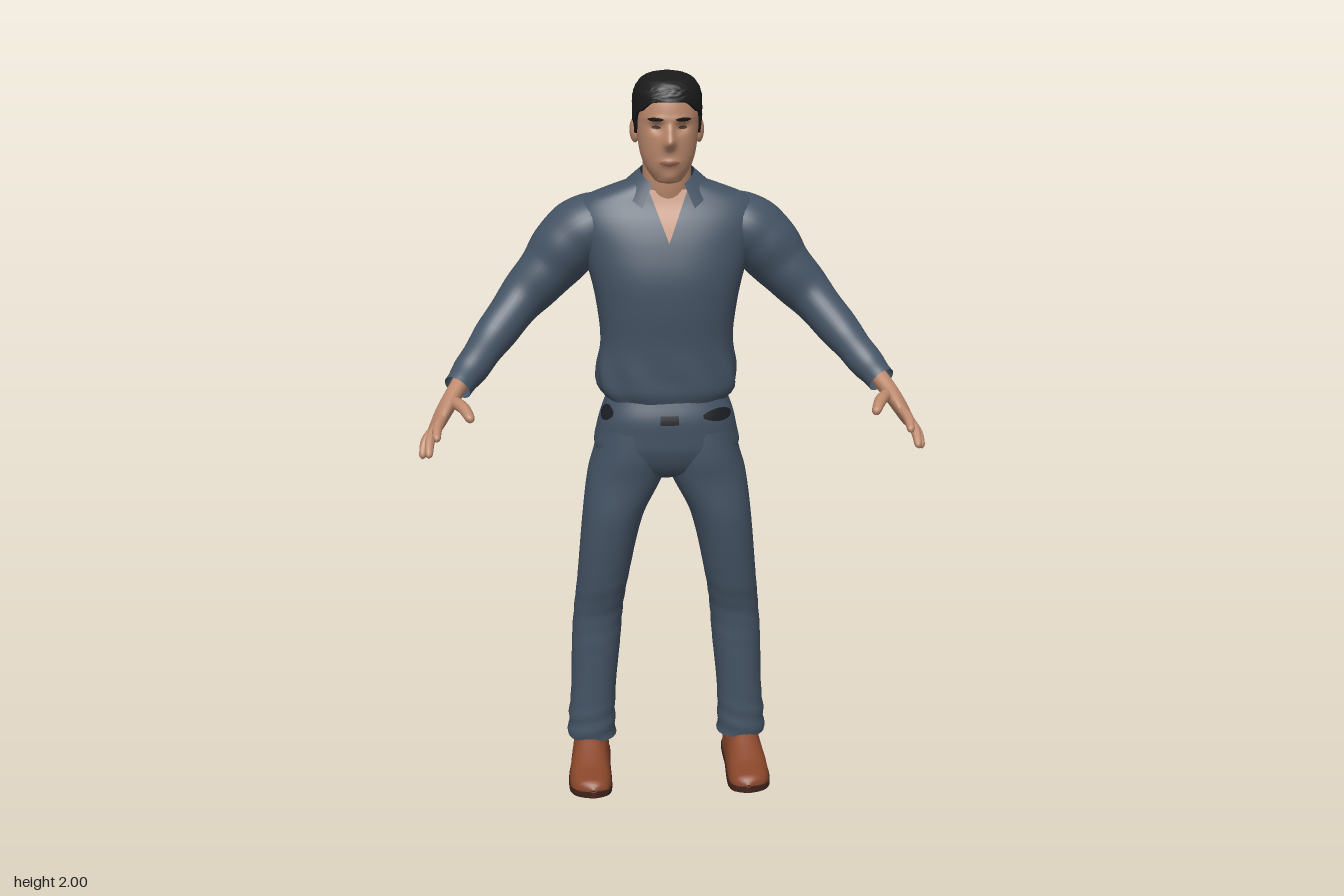
import * as THREE from 'three';
import { mergeVertices } from 'three/addons/utils/BufferGeometryUtils.js';

const TAU = Math.PI * 2;
const mat = (name, color, side = THREE.FrontSide) => {
  const m = new THREE.MeshStandardMaterial({ color, side });
  m.name = name;
  return m;
};
const bump = (d, s) => Math.exp(-((d / s) ** 2));
const pow = (v, n) => Math.sign(v) * Math.abs(v) ** (2 / n); // superellipse rounding

// Smoothly interpolate rows [key, a, b, ...] at a key
function at(rows, k) {
  const last = rows.length - 1;
  k = Math.min(Math.max(k, rows[0][0]), rows[last][0]);
  let i = 0;
  while (i < last - 1 && k > rows[i + 1][0]) i++;
  const h = rows[i + 1][0] - rows[i][0], t = (k - rows[i][0]) / h;
  const slope = (j, c) => {
    const p = rows[Math.max(j - 1, 0)], q = rows[Math.min(j + 1, last)];
    return (q[c] - p[c]) / (q[0] - p[0]);
  };
  return rows[0].slice(1).map((_, n) => {
    const c = n + 1, p = rows[i][c], q = rows[i + 1][c], t2 = t * t, t3 = t2 * t;
    return p * (2 * t3 - 3 * t2 + 1) + q * (3 * t2 - 2 * t3)
      + h * (slope(i, c) * (t3 - 2 * t2 + t) + slope(i + 1, c) * (t3 - t2));
  });
}

// Smooth surface from fn(u, v) -> [x, y, z]
function grid(fn, nu, nv) {
  const pos = [], idx = [];
  for (let j = 0; j <= nv; j++) for (let i = 0; i <= nu; i++) pos.push(...fn(i / nu, j / nv));
  for (let j = 0; j < nv; j++) for (let i = 0; i < nu; i++) {
    const a = j * (nu + 1) + i, b = a + 1, c = b + nu + 1, d = a + nu + 1;
    idx.push(a, b, c, a, c, d);
  }
  let g = new THREE.BufferGeometry();
  g.setAttribute('position', new THREE.Float32BufferAttribute(pos, 3));
  g.setIndex(idx);
  g = mergeVertices(g, 1e-5);
  g.computeVertexNormals();
  return g;
}

// Upright body surface from rows [y, front z, back z, half width, centre x]
const body = (rows, n, shape) => (y, a) => {
  const [zf, zb, rx, cx = 0] = at(rows, y);
  const p = [cx + rx * pow(Math.sin(a), n), y, (zf + zb) / 2 + (zf - zb) / 2 * pow(Math.cos(a), n)];
  return shape ? shape(p, a) : p;
};
const loft = (surf, y0, y1, nu, nv) => grid((u, v) => surf(y0 + (y1 - y0) * v, u * TAU), nu, nv);

// Thin plate lying on a body surface; rounded plates taper at both ends
const plate = (surf, a0, a1, y0, y1, off, round, cz = -0.1) => grid((u, v) => {
  const taper = round ? Math.sqrt(Math.sin(Math.PI * Math.min(Math.max(u, 0.02), 0.98))) : 1;
  const p = surf((y0 + y1) / 2 + (y1 - y0) * (v - 0.5) * taper, a0 + (a1 - a0) * u);
  const l = Math.hypot(p[0], p[2] - cz);
  return [p[0] * (1 + off / l), p[1], p[2] + (p[2] - cz) * off / l];
}, 12, 3);

// Tube through stations [x, y, z, radius across, radius thick]
function sweep(st, across, nu, nv, roundEnd, fold = 0) {
  const curve = new THREE.CatmullRomCurve3(st.map(s => new THREE.Vector3(s[0], s[1], s[2])));
  const radii = st.map((s, i) => [i, s[3], s[4] ?? s[3]]);
  const ref = new THREE.Vector3(...across);
  return grid((u, v) => {
    const T = curve.getTangent(v), c = curve.getPoint(v);
    const N = ref.clone().addScaledVector(T, -ref.dot(T)).normalize();
    const B = T.clone().cross(N);
    const a = u * TAU, [ra, rb] = at(radii, v * (st.length - 1));
    const k = (roundEnd && v > 0.85 ? Math.sqrt(Math.max(0, 1 - ((v - 0.85) / 0.15) ** 2)) : 1)
      * (1 + fold * Math.sin(v * 38 + 2 * Math.sin(a)) * v);
    return c.addScaledVector(N, Math.cos(a) * ra * k).addScaledVector(B, Math.sin(a) * rb * k).toArray();
  }, nu, nv);
}

function flipX(g) {
  const m = g.clone().scale(-1, 1, 1), ix = m.index.array;
  for (let i = 0; i < ix.length; i += 3) [ix[i + 1], ix[i + 2]] = [ix[i + 2], ix[i + 1]];
  m.computeVertexNormals();
  return m;
}

export function createModel() {
  const root = new THREE.Group();
  root.name = 'standingMan';
  const cloth = mat('blueCloth', 0x445364, THREE.DoubleSide);
  const skin = mat('skin', 0xbd8a6e, THREE.DoubleSide);
  const hairMat = mat('blackHair', 0x1a1a1b, THREE.DoubleSide);
  const leather = mat('brownLeather', 0x8a472b, THREE.DoubleSide);
  const soleMat = mat('darkSole', 0x40231a, THREE.DoubleSide);
  const dark = mat('darkTrim', 0x1b1e23, THREE.DoubleSide);
  const lipMat = mat('lips', 0x9a6350, THREE.DoubleSide);
  const eyeMat = mat('eyes', 0x4a3a33, THREE.DoubleSide);
  const add = (name, g, m) => {
    const mesh = new THREE.Mesh(g, m);
    mesh.name = name;
    root.add(mesh);
  };
  const pair = (name, g, m) => { add(name + 'Left', g, m); add(name + 'Right', flipX(g), m); };

  // Shirt body, bloused over the waist, with a spine hollow and soft folds
  const shirt = body([
    [1.12, -0.005, -0.205, 0.155], [1.14, 0, -0.22, 0.165], [1.165, 0.01, -0.25, 0.187], [1.21, 0.012, -0.255, 0.19],
    [1.3, 0.015, -0.25, 0.178], [1.4, 0.024, -0.262, 0.188], [1.48, 0.024, -0.27, 0.205], [1.56, 0.008, -0.273, 0.23],
    [1.62, -0.012, -0.252, 0.245], [1.67, -0.035, -0.222, 0.225], [1.7, -0.045, -0.195, 0.16], [1.725, -0.055, -0.175, 0.09],
  ], 2.5, (p, a) => {
    const [x, y, z] = p, k = 1 + 0.022 * Math.sin(9 * a + y * 25) * bump(y - 1.2, 0.06);
    const spine = z < -0.15 ? 0.014 * bump(x, 0.035) * bump(y - 1.42, 0.17) : 0;
    return [x * k, y, -0.12 + (z + 0.12) * k + spine];
  });
  add('shirt', loft(shirt, 1.12, 1.725, 64, 50), cloth);

  // Folded collar and the open neckline
  add('collar', grid((u, v) => {
    const a = 0.62 + u * (TAU - 1.24), f = ((1 + Math.cos(a)) / 2) ** 3;
    const r = 0.07 + 0.045 * v, rz = 0.066 + 0.029 * v;
    return [r * Math.sin(a), (1.757 - 0.05 * f) * (1 - v) + (1.72 - 0.08 * f) * v, -0.096 - 0.004 * v + rz * Math.cos(a)];
  }, 40, 5), cloth);
  add('openNeckline', grid((u, v) => {
    const y = 1.575 + 0.13 * v, x = (u * 2 - 1) * 0.05 * v, p = shirt(y, 0);
    return [x, y, p[2] + 0.004];
  }, 6, 10), skin);

  // Sleeves
  pair('sleeve', sweep([
    [0.13, 1.615, -0.14, 0.07, 0.085], [0.2, 1.595, -0.14, 0.088, 0.1], [0.255, 1.555, -0.14, 0.09, 0.098],
    [0.312, 1.487, -0.135, 0.078, 0.085], [0.385, 1.41, -0.112, 0.063, 0.066], [0.46, 1.325, -0.045, 0.052],
    [0.515, 1.262, 0.03, 0.044], [0.55, 1.225, 0.082, 0.037],
  ], [0.7, 0.7, 0], 32, 56, false, 0.035), cloth);

  // Trousers: seat and legs
  const hips = body([
    [0.915, -0.06, -0.18, 0.06], [0.94, -0.02, -0.225, 0.16], [1, 0.01, -0.25, 0.198], [1.05, 0.015, -0.255, 0.192],
    [1.1, 0.015, -0.226, 0.18], [1.15, 0, -0.21, 0.162],
  ], 2.5);
  add('trouserSeat', loft(hips, 0.915, 1.15, 56, 20), cloth);
  const leg = body([
    [0.095, -0.064, -0.196, 0.07, 0.22], [0.14, -0.062, -0.198, 0.068, 0.22], [0.25, -0.062, -0.208, 0.065, 0.213],
    [0.4, -0.06, -0.22, 0.07, 0.203], [0.5, -0.057, -0.213, 0.07, 0.195], [0.6, -0.032, -0.202, 0.072, 0.182],
    [0.8, 0, -0.225, 0.085, 0.15], [0.92, 0.002, -0.242, 0.106, 0.113], [0.98, 0.008, -0.252, 0.102, 0.1],
    [1.06, 0.005, -0.245, 0.088, 0.094],
  ], 2.2, ([x, y, z], a) => {
    const k = 1 + Math.sin(y * 110 + 2 * Math.sin(a)) * (0.04 * bump(y - 0.13, 0.07) + 0.012 * bump(y - 0.5, 0.1));
    return [0.21 + (x - 0.21) * k, y, -0.13 + (z + 0.13) * k];
  });
  pair('trouserLeg', loft(leg, 0.095, 1.06, 36, 70), cloth);

  // Waist buckle and dark pocket patches
  add('buckle', plate(hips, -0.08, 0.08, 1.09, 1.115, 0.004, false), dark);
  add('frontPocketPatch', plate(hips, 0.43, 1.15, 1.092, 1.126, 0.004, true), dark);
  add('sidePocketPatch', plate(hips, -1.4, -0.9, 1.09, 1.132, 0.004, true), dark);

  // Shoes, rows [z, centre x, half width, height]
  const shoe = [
    [-0.206, 0.222, 0.004, 0.03], [-0.2, 0.222, 0.036, 0.075], [-0.18, 0.222, 0.05, 0.11], [-0.13, 0.224, 0.054, 0.12],
    [-0.08, 0.226, 0.055, 0.11], [-0.03, 0.228, 0.058, 0.088], [0.02, 0.228, 0.059, 0.068], [0.06, 0.226, 0.054, 0.057],
    [0.088, 0.222, 0.036, 0.045], [0.1, 0.22, 0.004, 0.026],
  ];
  const spring = z => 0.01 * Math.max(0, (z - 0.02) / 0.08) ** 2;
  pair('shoe', grid((u, v) => {
    const z = -0.206 + 0.306 * v, [cx, hw, h] = at(shoe, z), a = u * TAU;
    return [cx + hw * pow(Math.cos(a), 2.4), 0.018 + (h - 0.018) * Math.max(0, pow(Math.sin(a), 2.4)) + spring(z), z];
  }, 32, 40), leather);
  pair('sole', grid((u, v) => {
    const z = -0.206 + 0.306 * v, [cx, hw] = at(shoe, z), a = u * TAU;
    const arch = 0.007 * bump(z + 0.06, 0.025) * (Math.sin(a) < 0 ? 1 : 0);
    return [cx + (hw + 0.003) * pow(Math.cos(a), 8), 0.011 + 0.011 * pow(Math.sin(a), 8) + spring(z) + arch, z * 1.01];
  }, 32, 40), soleMat);

  // Hands
  const across = [-0.41, 0.57, 0.7];
  pair('palm', sweep([
    [0.54, 1.237, 0.07, 0.027, 0.023], [0.563, 1.207, 0.112, 0.032, 0.022], [0.583, 1.178, 0.147, 0.044, 0.02],
    [0.597, 1.155, 0.172, 0.045, 0.017], [0.608, 1.138, 0.19, 0.04, 0.014],
  ], across, 20, 16, true), skin);
  const digits = {
    indexFinger: [[0.58, 1.18, 0.18], [0.591, 1.166, 0.235], [0.59, 1.147, 0.28], 0.0125],
    middleFinger: [[0.59, 1.167, 0.165], [0.61, 1.137, 0.228], [0.612, 1.102, 0.277], 0.0125],
    ringFinger: [[0.598, 1.153, 0.15], [0.627, 1.115, 0.19], [0.635, 1.08, 0.217], 0.012],
    littleFinger: [[0.605, 1.14, 0.135], [0.632, 1.108, 0.156], [0.64, 1.077, 0.166], 0.0105],
    thumb: [[0.565, 1.203, 0.12], [0.528, 1.202, 0.185], [0.505, 1.182, 0.237], 0.0155],
  };
  for (const [name, [a, b, c, r]] of Object.entries(digits))
    pair(name, sweep([[...a, r], [...b, r], [...c, r * 0.72]], across, 12, 14, true), skin);

  // Neck and head, with brow, sockets, nose, lips and chin shaped in
  add('neck', sweep([[0, 1.62, -0.115, 0.05], [0, 1.7, -0.095, 0.062], [0, 1.81, -0.09, 0.062]], [1, 0, 0], 32, 12), skin);
  const face = body([
    [1.724, -0.02, -0.05, 0.004], [1.728, -0.004, -0.07, 0.028], [1.74, 0.002, -0.095, 0.042], [1.76, 0.011, -0.12, 0.056],
    [1.78, 0.016, -0.14, 0.065], [1.8, 0.019, -0.155, 0.071], [1.83, 0.022, -0.175, 0.076], [1.87, 0.022, -0.19, 0.08],
    [1.91, 0.023, -0.19, 0.08], [1.95, 0.01, -0.175, 0.073], [1.975, -0.02, -0.145, 0.055], [1.988, -0.07, -0.1, 0.01],
  ], 2.2, ([x, y, z], a) => {
    if (Math.cos(a) < 0) return [x, y, z];
    const ax = Math.abs(x);
    return [x, y, z + 0.025 * bump(x, 0.013) * bump(y - 1.832, 0.016) + 0.014 * bump(x, 0.011) * bump(y - 1.858, 0.02)
      - 0.011 * bump(ax - 0.032, 0.016) * bump(y - 1.868, 0.012) + 0.004 * bump(ax - 0.03, 0.03) * bump(y - 1.89, 0.008)
      + 0.006 * bump(x, 0.022) * bump(y - 1.781, 0.009) + 0.005 * bump(x, 0.02) * bump(y - 1.743, 0.012)];
  });
  add('head', loft(face, 1.724, 1.988, 96, 64), skin);
  pair('ear', mergeVertices(new THREE.SphereGeometry(1, 16, 12).scale(0.012, 0.031, 0.021)
    .rotateX(-0.15).rotateY(-0.25).translate(0.083, 1.85, -0.092)), skin);
  pair('eyebrow', plate(face, 0.16, 0.68, 1.884, 1.894, 0.002, true), hairMat);
  pair('eye', plate(face, 0.24, 0.54, 1.864, 1.873, 0.002, true), eyeMat);
  add('mouth', plate(face, -0.36, 0.36, 1.774, 1.787, 0.0015, true), lipMat);

  // Short hair from the hairline up to the crown
  const hairline = [[0, 1.932], [0.5, 1.928], [0.85, 1.908], [1.15, 1.895], [1.3, 1.852], [1.5, 1.85], [1.65, 1.88],
    [1.95, 1.872], [2.15, 1.805], [Math.PI, 1.785]];
  const hair = body([
    [1.78, 0, -0.163, 0.068], [1.82, 0.005, -0.186, 0.08], [1.87, 0.025, -0.203, 0.087], [1.91, 0.031, -0.207, 0.0885],
    [1.95, 0.026, -0.199, 0.085], [1.98, 0, -0.168, 0.067], [1.994, -0.045, -0.13, 0.04], [2, -0.084, -0.092, 0.002],
  ], 2.2);
  add('hair', grid((u, v) => {
    const a = u * TAU, [low] = at(hairline, Math.min(a, TAU - a));
    const t = Math.max(0, (v - 0.05) / 0.95), p = hair(low + (2 - low) * (1 - (1 - t) ** 1.5), a);
    const k = v === 0 ? 0.86 : 1 + 0.014 * Math.sin(19 * a + 5 * Math.sin(t * 14)) * Math.sin(t * 30 + 3 * Math.sin(5 * a));
    return [p[0] * k, p[1], -0.088 + (p[2] + 0.088) * k];
  }, 96, 40), hairMat);

  return root;
}
